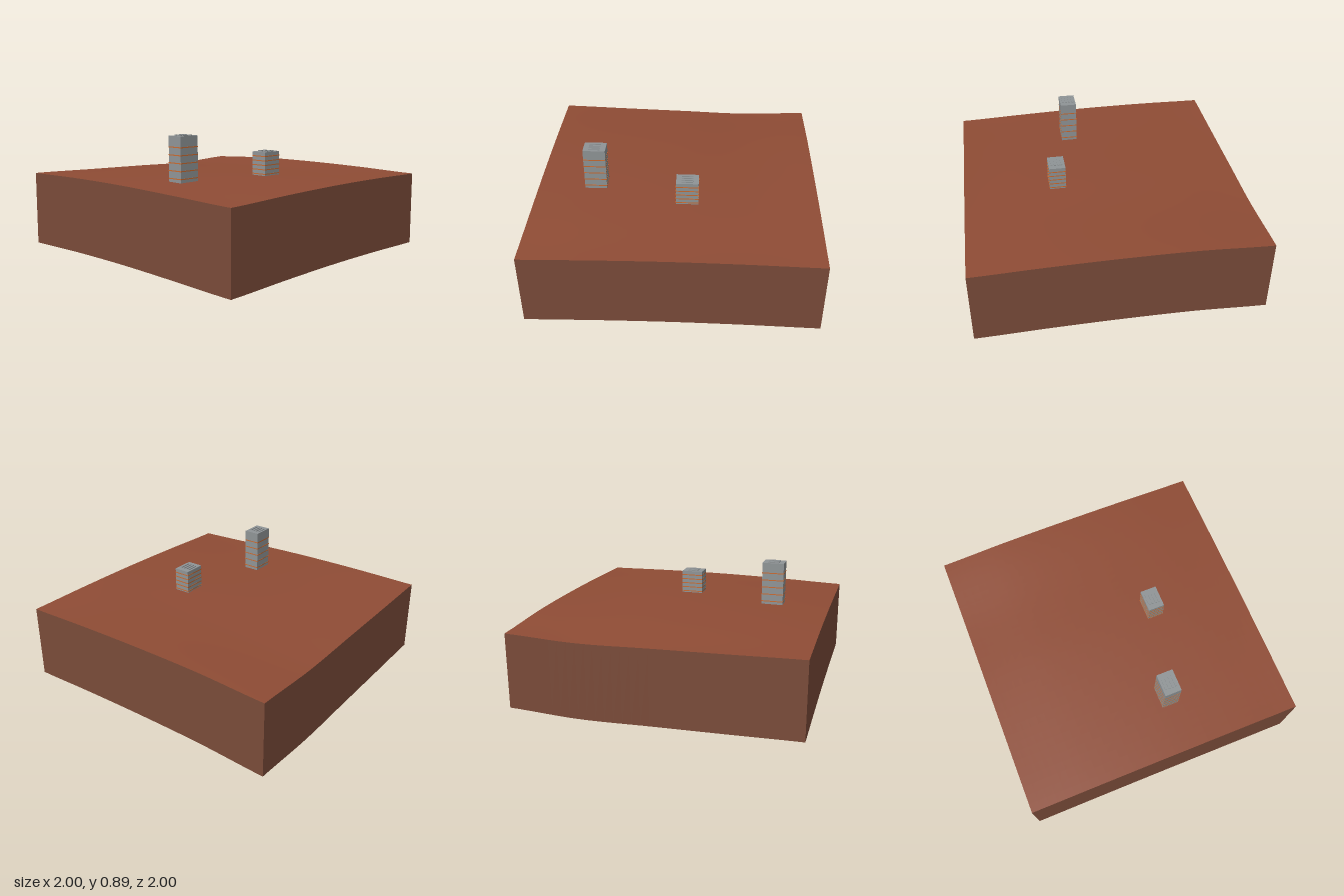
import * as THREE from 'three';

const DEPTH = 0.53; // height of the earth skirt
const mat = (name, color, extra = {}) => Object.assign(new THREE.MeshStandardMaterial({ color, ...extra }), { name });

// Smooth height along one border, from five evenly spaced heights
function border(heights) {
  const curve = new THREE.SplineCurve(heights.map((h, i) => new THREE.Vector2(i, h)));
  return (s) => curve.getPoint((s + 1) / 2).y;
}
const front = border([0.037, 0.044, 0.041, 0.027, 0.01]);
const back = border([0.02, 0.043, 0.047, 0.04, 0.025]);
const right = border([0.025, 0.033, 0.034, 0.025, 0.01]);
const left = border([0.02, 0, 0.012, 0.024, 0.037]);

// Rolling ground blended between the four borders
function groundHeight(x, z) {
  const u = (x + 1) / 2, v = (z + 1) / 2, mix = THREE.MathUtils.lerp;
  const corners = mix(mix(back(-1), back(1), u), mix(front(-1), front(1), u), v);
  return DEPTH + mix(back(x), front(x), v) + mix(left(z), right(z), u) - corners;
}

function groundGeometry() {
  const g = new THREE.PlaneGeometry(2, 2, 32, 32).rotateX(-Math.PI / 2);
  const p = g.attributes.position;
  for (let i = 0; i < p.count; i++) p.setY(i, groundHeight(p.getX(i), p.getZ(i)));
  g.computeVertexNormals();
  return g;
}

// One wall hanging from a border of the ground
function wallGeometry(at) {
  const g = new THREE.PlaneGeometry(2, DEPTH, 32, 1);
  const p = g.attributes.position;
  for (let i = 0; i < p.count; i++) {
    const [x, z] = at(p.getX(i));
    p.setXYZ(i, x, groundHeight(x, z) - (p.getY(i) < 0 ? DEPTH : 0), z);
  }
  g.computeVertexNormals();
  return g;
}

export function createModel() {
  const model = new THREE.Group();
  const soil = mat('red soil', 0x8f4c35, { side: THREE.DoubleSide });
  const earth = mat('brown earth', 0x7a4b39, { side: THREE.DoubleSide });
  const concrete = mat('grey concrete', 0x8f9496);
  const orange = mat('orange trim', 0xc8692f);

  const add = (parent, name, geometry, material, x = 0, y = 0, z = 0) => {
    const mesh = new THREE.Mesh(geometry, material);
    mesh.name = name;
    mesh.position.set(x, y, z);
    parent.add(mesh);
  };

  // Ground block, open underneath
  add(model, 'ground', groundGeometry(), soil);
  add(model, 'frontWall', wallGeometry((s) => [s, 1]), earth);
  add(model, 'backWall', wallGeometry((s) => [-s, -1]), earth);
  add(model, 'rightWall', wallGeometry((s) => [1, -s]), earth);
  add(model, 'leftWall', wallGeometry((s) => [-1, s]), earth);

  // Tower with floor bands and low roof ribs
  function tower(name, x, z, top, firstBand, bandStep) {
    const group = new THREE.Group();
    group.name = name;
    group.position.set(x, 0, z);
    const base = groundHeight(x, z) - 0.002, w = 0.117, d = 0.157;
    add(group, 'body', new THREE.BoxGeometry(w, top - base, d), concrete, 0, (top + base) / 2, 0);
    for (let i = 0; i < 5; i++) {
      add(group, 'floorBand', new THREE.BoxGeometry(w + 0.003, 0.007, d + 0.003), orange, 0, firstBand - i * bandStep, 0);
    }
    for (let i = 0; i < 4; i++) {
      add(group, 'roofRib', new THREE.BoxGeometry(0.014, 0.006, 0.08), concrete, (i - 1.5) * 0.024, top + 0.003, 0);
    }
    model.add(group);
  }
  tower('tallTower', 0.166, 0.582, 0.882, 0.807, 0.053);
  tower('shortTower', 0.332, -0.08, 0.743, 0.713, 0.032);

  return model;
}
